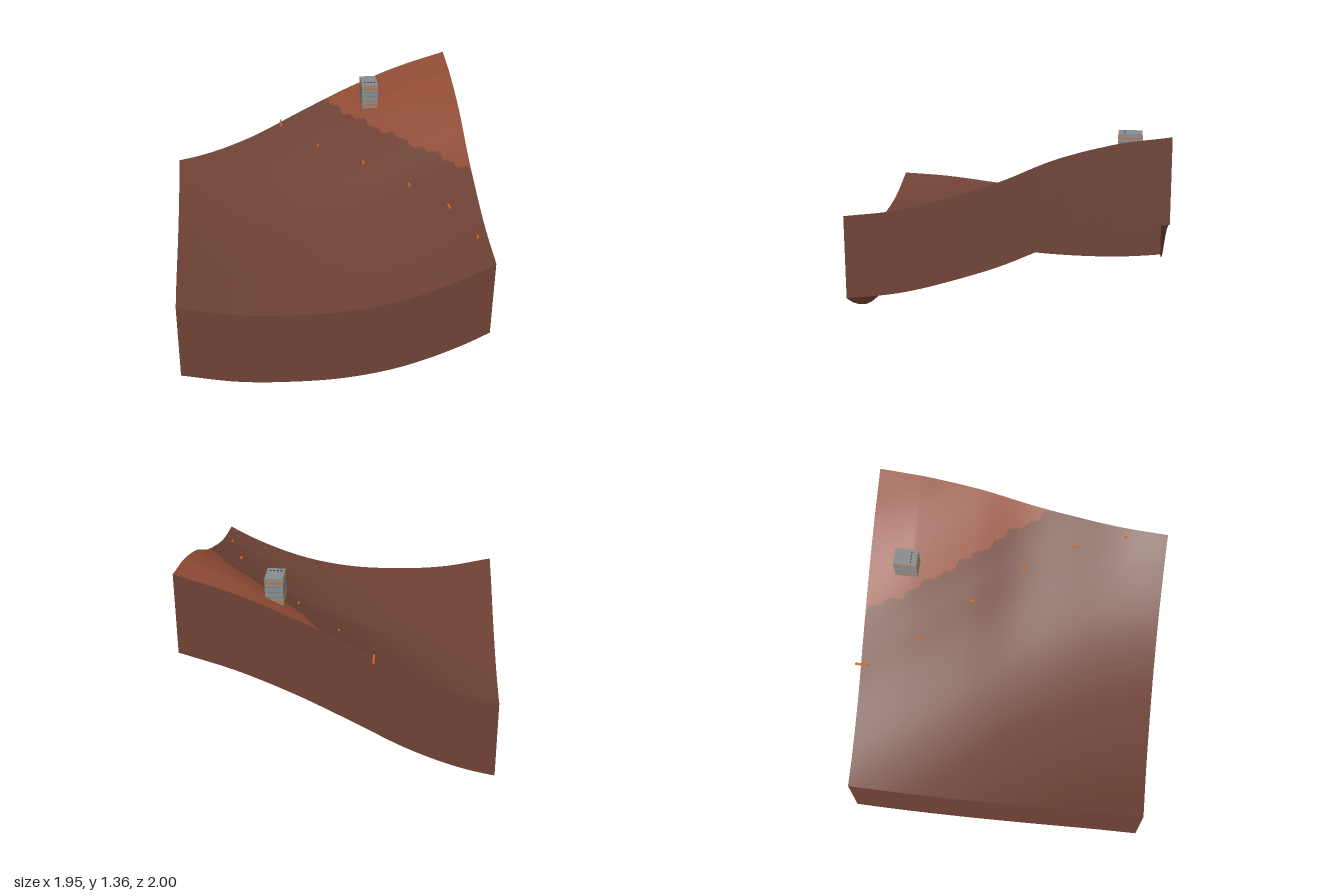
import * as THREE from 'three';

const X0 = -0.975, X1 = 0.975, Z0 = -0.96, Z1 = 1, DEPTH = 0.525, N = 150;

// Cross-section of the valley, and how far it shifts in x from back to front
const PROFILE = [0.63, 0.553, 0.526, 0.534, 0.597, 0.727, 0.913, 1.093, 1.243, 1.355];
const SHIFT = [0, 0.24, 0.5, 0.775, 0.965, 1.125, 1.205];
const P0 = X0 - SHIFT[6];

// Smooth cubic through evenly spaced samples
function sample(a, t) {
  const n = a.length - 1;
  const i = Math.min(n - 1, Math.max(0, Math.floor(t * n)));
  const f = t * n - i;
  const p1 = a[i], p2 = a[i + 1];
  const p0 = i > 0 ? a[i - 1] : 2 * p1 - p2;
  const p3 = i + 2 <= n ? a[i + 2] : 2 * p2 - p1;
  return p1 + 0.5 * f * (p2 - p0 + f * (2 * p0 - 5 * p1 + 4 * p2 - p3 + f * (3 * (p1 - p2) + p3 - p0)));
}

// Ground height: the valley section swept along a curved floor line
function height(x, z) {
  const shift = sample(SHIFT, (z - Z0) / (Z1 - Z0));
  const p = x - shift;
  const shoulder = 0.08 * THREE.MathUtils.smoothstep(p, -0.1, 0.5) * Math.min(1, shift / 0.2);
  return sample(PROFILE, (p + shoulder - P0) / (X1 - P0));
}

export function createModel() {
  const model = new THREE.Group();
  const mat = (name, color, side = THREE.FrontSide) => {
    const m = new THREE.MeshStandardMaterial({ color, side });
    m.name = name;
    return m;
  };
  const soil = mat('brown soil', 0x6f4235, THREE.DoubleSide);
  const rust = mat('rust soil', 0x924d36, THREE.DoubleSide);
  const grey = mat('grey metal', 0x8a8d8f);
  const seamGrey = mat('seam grey', 0x6c7072);
  const dark = mat('dark vent', 0x3f4245);
  const orange = mat('orange', 0xd2691e);

  const box = (parent, name, w, h, d, x, y, z, material) => {
    const mesh = new THREE.Mesh(new THREE.BoxGeometry(w, h, d), material);
    mesh.name = name;
    mesh.position.set(x, y, z);
    parent.add(mesh);
  };

  // Ground surface, split into brown lowland and rust highland
  const ground = new THREE.PlaneGeometry(X1 - X0, Z1 - Z0, N, N);
  ground.rotateX(-Math.PI / 2);
  ground.translate((X0 + X1) / 2, 0, (Z0 + Z1) / 2);
  const pos = ground.attributes.position;
  for (let i = 0; i < pos.count; i++) pos.setY(i, height(pos.getX(i), pos.getZ(i)));
  ground.computeVertexNormals();
  const low = [], high = [], idx = ground.index.array;
  for (let i = 0; i < idx.length; i += 3) {
    const tri = [idx[i], idx[i + 1], idx[i + 2]];
    const mean = (get) => tri.reduce((s, k) => s + get(k), 0) / 3;
    const x = mean((k) => pos.getX(k)), y = mean((k) => pos.getY(k)), z = mean((k) => pos.getZ(k));
    const along = 0.63 * x + 0.78 * z;
    const edge = 1.007 + 0.007 * Math.sin(along * 46) + 0.006 * Math.sin(along * 19);
    (y > edge ? high : low).push(...tri);
  }
  ground.setIndex([...low, ...high]);
  ground.clearGroups();
  ground.addGroup(0, low.length, 0);
  ground.addGroup(low.length, high.length, 1);
  const groundMesh = new THREE.Mesh(ground, [soil, rust]);
  groundMesh.name = 'ground';
  model.add(groundMesh);

  // Four side walls that follow the ground; the underside stays open
  const wall = (name, ax, az, bx, bz) => {
    const g = new THREE.PlaneGeometry(1, 1, N, 1);
    const p = g.attributes.position, uv = g.attributes.uv;
    for (let i = 0; i < p.count; i++) {
      const t = uv.getX(i);
      const x = ax + (bx - ax) * t, z = az + (bz - az) * t;
      p.setXYZ(i, x, height(x, z) - (1 - uv.getY(i)) * DEPTH, z);
    }
    g.computeVertexNormals();
    const mesh = new THREE.Mesh(g, soil);
    mesh.name = name;
    model.add(mesh);
  };
  wall('frontWall', X0, Z1, X1, Z1);
  wall('leftWall', X1, Z1, X1, Z0);
  wall('backWall', X1, Z0, X0, Z0);
  wall('rightWall', X0, Z0, X0, Z1);

  // Grey tower on the high slope
  const tower = new THREE.Group();
  tower.name = 'tower';
  tower.position.set(0.405, 1.085, -0.715);
  model.add(tower);
  const W = 0.112, D = 0.15, H = 0.18;
  box(tower, 'towerBody', W, H, D, 0, H / 2, 0, grey);
  // Seams and orange bands wrapped around the tower
  for (const y of [0.055, 0.09, 0.122]) box(tower, 'seam', W + 0.002, 0.003, D + 0.002, 0, y, 0, seamGrey);
  for (const y of [0.027, 0.149]) box(tower, 'band', W + 0.004, 0.009, D + 0.004, 0, y, 0, orange);
  // Row of small vents on the roof
  for (let i = 0; i < 4; i++) box(tower, 'vent', 0.012, 0.006, 0.006, -0.033 + i * 0.022, H + 0.002, 0.035, dark);

  // Orange marker stakes lying along the slope: x, z, length
  const stakes = [
    [-0.21, -0.955, 0.09], [0.03, -0.6, 0.03], [0.32, -0.3, 0.07],
    [0.59, 0.04, 0.04], [0.8, 0.35, 0.09], [0.92, 0.71, 0.025],
  ];
  for (const [x, z, length] of stakes) {
    box(model, 'markerStake', 0.012, 0.014, length, x, height(x, z + length / 4) + 0.002, z, orange);
  }
  return model;
}
